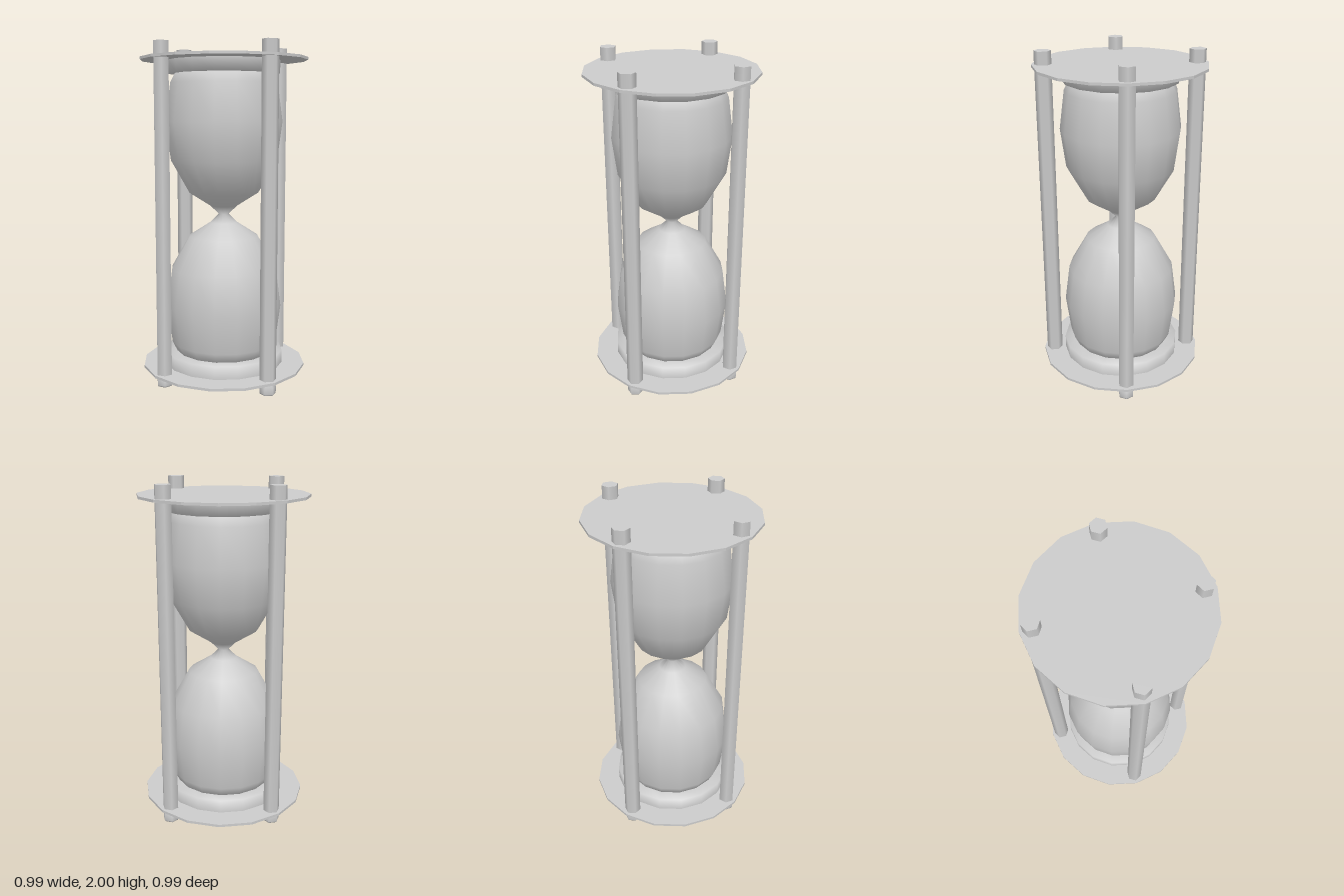
import * as THREE from 'three';

const SIDES = 16;
const ROD_OFFSET = 0.43;

const solid = new THREE.MeshStandardMaterial({ color: 0xcccccc });
const flat = new THREE.MeshStandardMaterial({ color: 0xcccccc, flatShading: true });
const shell = new THREE.MeshStandardMaterial({ color: 0xcccccc, side: THREE.DoubleSide });

function add(parent, name, geometry, material) {
  const mesh = new THREE.Mesh(geometry, material);
  mesh.name = name;
  parent.add(mesh);
  return mesh;
}

function lathe(profile, sides = SIDES) {
  return new THREE.LatheGeometry(profile.map(([r, y]) => new THREE.Vector2(r, y)), sides);
}

// Corners of a regular polygon, one corner on each axis
function polygon(radius) {
  return Array.from({ length: SIDES }, (_, i) => {
    const a = (i / SIDES) * Math.PI * 2;
    return new THREE.Vector2(Math.cos(a) * radius, Math.sin(a) * radius);
  });
}

// Thin faceted plate, with an optional central hole
function plate(y, holeRadius) {
  const shape = new THREE.Shape(polygon(0.495));
  if (holeRadius) shape.holes.push(new THREE.Path(polygon(holeRadius)));
  const geometry = new THREE.ExtrudeGeometry(shape, { depth: 0.015, bevelEnabled: false });
  return geometry.rotateX(-Math.PI / 2).translate(0, y, 0);
}

export function createModel() {
  const model = new THREE.Group();
  model.name = 'hourglass';

  // End plates: the lower one is open beneath the glass
  add(model, 'topPlate', plate(1.91), flat);
  add(model, 'bottomPlate', plate(0.07, 0.355), flat);

  // Cup-shaped collars that hold the bulbs
  add(model, 'topCollar', lathe([[0.27, 1.835], [0.333, 1.835], [0.333, 1.912]]), shell);
  add(model, 'bottomCollar', lathe([[0.36, 0.08], [0.36, 0.163], [0.27, 0.163]]), shell);

  // Glass: one half profile from the neck outward, mirrored about y = 1
  const half = [
    [0.03, 0], [0.08, 0.05], [0.21, 0.133], [0.32, 0.328],
    [0.35, 0.555], [0.32, 0.78], [0.29, 0.84], [0.2, 0.915],
  ];
  const lower = half.slice(1).reverse().map(([r, d]) => [r, 1 - d]);
  const upper = half.map(([r, d]) => [r, 1 + d]);
  add(model, 'glassBulbs', lathe([...lower, ...upper]), shell);

  // Four hexagonal rods with chamfered feet, two feet sitting slightly higher
  for (let i = 0; i < 4; i++) {
    const post = new THREE.Group();
    post.name = 'post' + (i + 1);
    post.rotation.y = (i * Math.PI) / 2; // front, left, back, right
    model.add(post);

    const rod = new THREE.CylinderGeometry(0.048, 0.048, 1.925, 6);
    add(post, 'rod', rod, solid).position.set(0, 1.0375, ROD_OFFSET);

    const lift = i === 0 || i === 3 ? 0.015 : 0;
    const foot = lathe([
      [0, 0], [0.044, 0], [0.048, 0.008], [0.048, 0.045], [0.036, 0.062], [0.036, 0.075],
    ], 6);
    add(post, 'foot', foot, solid).position.set(0, lift, ROD_OFFSET);
  }

  return model;
}
